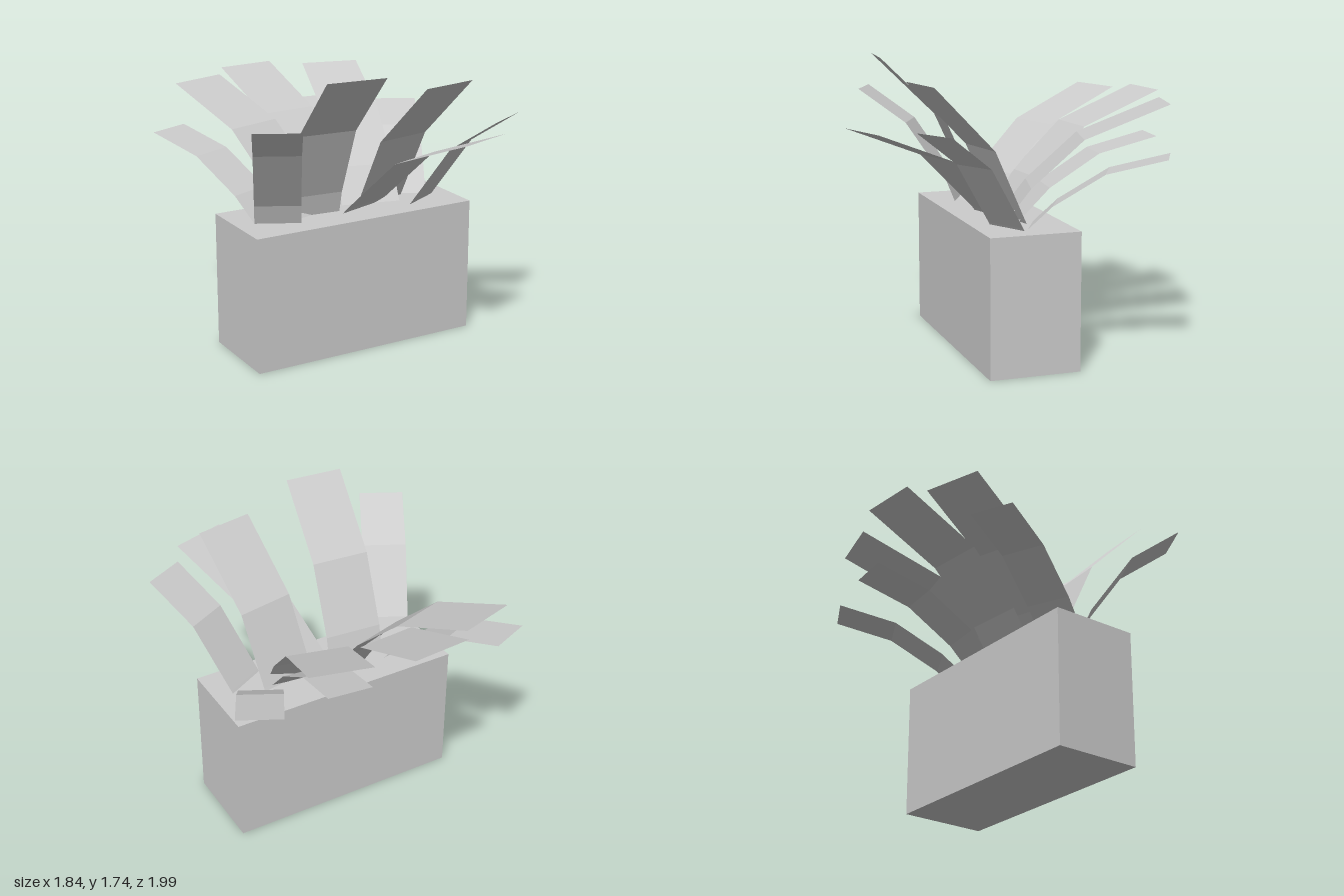
import * as THREE from 'three';

const BOX_TOP = 0.815;

// Bent strip leaf: profile rows run from base to tip as [distance back from tip, height].
function leafGeometry(width, profile) {
  const geo = new THREE.PlaneGeometry(width, 1, 1, profile.length - 1);
  const pos = geo.attributes.position;
  for (let i = 0; i < pos.count; i++) {
    const [back, height] = profile[Math.floor(i / 2)];
    pos.setXYZ(i, pos.getX(i), height, -back);
  }
  const flat = geo.toNonIndexed();
  flat.computeVertexNormals();
  return flat;
}

export function createModel() {
  const group = new THREE.Group();
  const planterGrey = new THREE.MeshStandardMaterial({ color: 0xcccccc, flatShading: true, side: THREE.DoubleSide });

  // Rectangular planter
  const planter = new THREE.Mesh(new THREE.BoxGeometry(1.44, BOX_TOP, 0.54), planterGrey);
  planter.name = 'planterBox';
  planter.position.set(-0.02, BOX_TOP / 2, 0.04);
  group.add(planter);

  // Shared bend shapes
  const backSmall = [[0.78, BOX_TOP], [0.64, 0.95], [0.345, 1.14], [0, 1.23]];
  const backMiddle = [[0.83, BOX_TOP], [0.64, 1.01], [0.345, 1.2], [0, 1.29]];
  const backLarge = [[0.95, BOX_TOP], [0.8, 1.01], [0.495, 1.29], [0, 1.49]];
  const backTall = [[0.95, BOX_TOP], [0.81, 1.02], [0.5, 1.31], [0, 1.51]];

  // Each leaf: name, tip centre x and z, heading in degrees from +z toward +x, width, profile
  const leaves = [
    ['backLeafOuterRight', -0.8, -0.735, -157.5, 0.262, backSmall],
    ['backLeafRight', -0.556, -0.828, -163.5, 0.355, backLarge],
    ['backLeafCentre', -0.15, -0.987, -175.8, 0.355, backTall],
    ['backLeafLeft', 0.397, -0.87, 165.5, 0.36, backLarge],
    ['backLeafLower', 0.31, -0.815, 173.7, 0.262, backMiddle],
    ['backLeafOuterLeft', 0.804, -0.711, 152.3, 0.262, backSmall],
    ['frontLeafOuterRight', -0.78, 0.648, -27.1, 0.27,
      [[0.6, BOX_TOP], [0.55, 0.935], [0.295, 1.3], [0, 1.505]]],
    ['frontLeafRight', -0.315, 0.683, -5.1, 0.355,
      [[0.61, BOX_TOP], [0.575, 0.945], [0.385, 1.36], [0, 1.74]]],
    ['frontLeafLeft', 0.34, 0.598, 10.4, 0.356,
      [[0.585, BOX_TOP], [0.575, 0.835], [0.38, 1.25], [0, 1.63]]],
    ['frontLeafLong', 0.357, 0.935, 18.1, 0.353,
      [[0.89, BOX_TOP], [0.87, 0.84], [0.5, 1.19], [0, 1.385]]],
    ['frontLeafOuterLeft', 0.728, 0.63, 27.8, 0.27,
      [[0.565, BOX_TOP], [0.555, 0.83], [0.3, 1.195], [0, 1.4]]],
  ];
  for (const [name, x, z, heading, width, profile] of leaves) {
    const leaf = new THREE.Mesh(leafGeometry(width, profile), planterGrey);
    leaf.name = name;
    leaf.position.set(x, 0, z);
    leaf.rotation.y = THREE.MathUtils.degToRad(heading);
    group.add(leaf);
  }
  return group;
}
